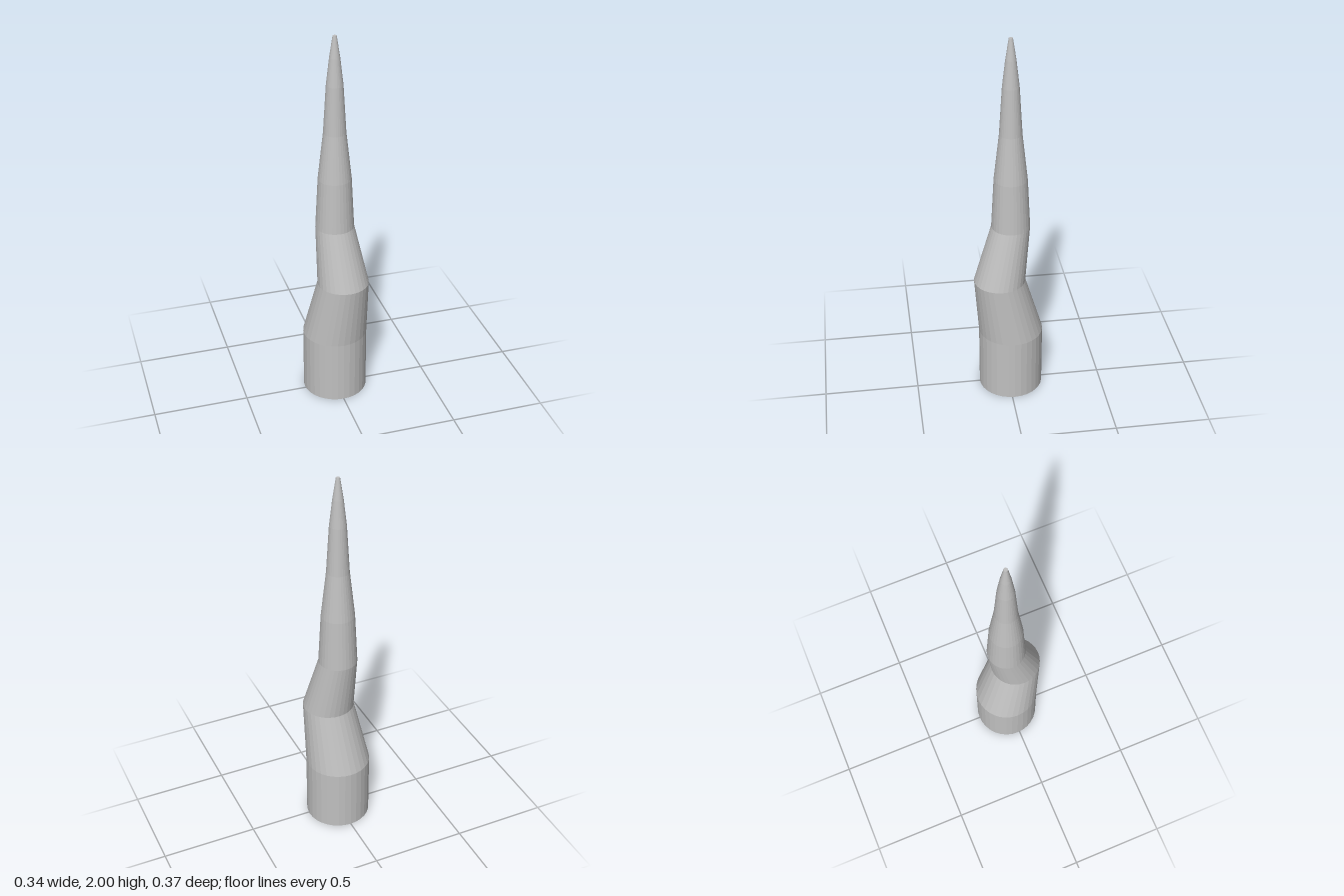
import * as THREE from 'three';

const SIDES = 32;

// Cross-sections from base to tip: centre x, height, centre z, radius
const RINGS = [
  [0, 0, -0.013, 0.17],
  [0, 0.345, -0.013, 0.17],
  [0.027, 0.675, 0.049, 0.134],
  [0, 0.98, -0.013, 0.1],
  [0, 1.25, -0.013, 0.086],
  [0, 1.5, -0.013, 0.058],
  [0, 1.75, -0.013, 0.043],
  [0, 1.89, -0.013, 0.027],
  [0, 2, -0.013, 0.01],
];

function loft(rings) {
  const positions = [], index = [];
  for (const [x, y, z, r] of rings) {
    for (let i = 0; i < SIDES; i++) {
      const a = (i / SIDES) * Math.PI * 2;
      positions.push(x + r * Math.sin(a), y, z + r * Math.cos(a));
    }
  }
  // Side walls
  for (let k = 0; k < rings.length - 1; k++) {
    for (let i = 0; i < SIDES; i++) {
      const j = (i + 1) % SIDES;
      const a = k * SIDES + i, b = k * SIDES + j;
      index.push(a, b, b + SIDES, a, b + SIDES, a + SIDES);
    }
  }
  // Flat base and tip caps
  const top = (rings.length - 1) * SIDES;
  for (let i = 1; i < SIDES - 1; i++) {
    index.push(0, i + 1, i);
    index.push(top, top + i, top + i + 1);
  }
  const indexed = new THREE.BufferGeometry();
  indexed.setAttribute('position', new THREE.Float32BufferAttribute(positions, 3));
  indexed.setIndex(index);
  const geometry = indexed.toNonIndexed();
  geometry.computeVertexNormals();
  return geometry;
}

export function createModel() {
  const grey = new THREE.MeshStandardMaterial({ color: 0xc0c0c0, flatShading: true });
  grey.name = 'light grey';

  // Crooked tapering spike
  const spike = new THREE.Mesh(loft(RINGS), grey);
  spike.name = 'crookedSpike';

  const group = new THREE.Group();
  group.name = 'spike';
  group.add(spike);
  return group;
}
